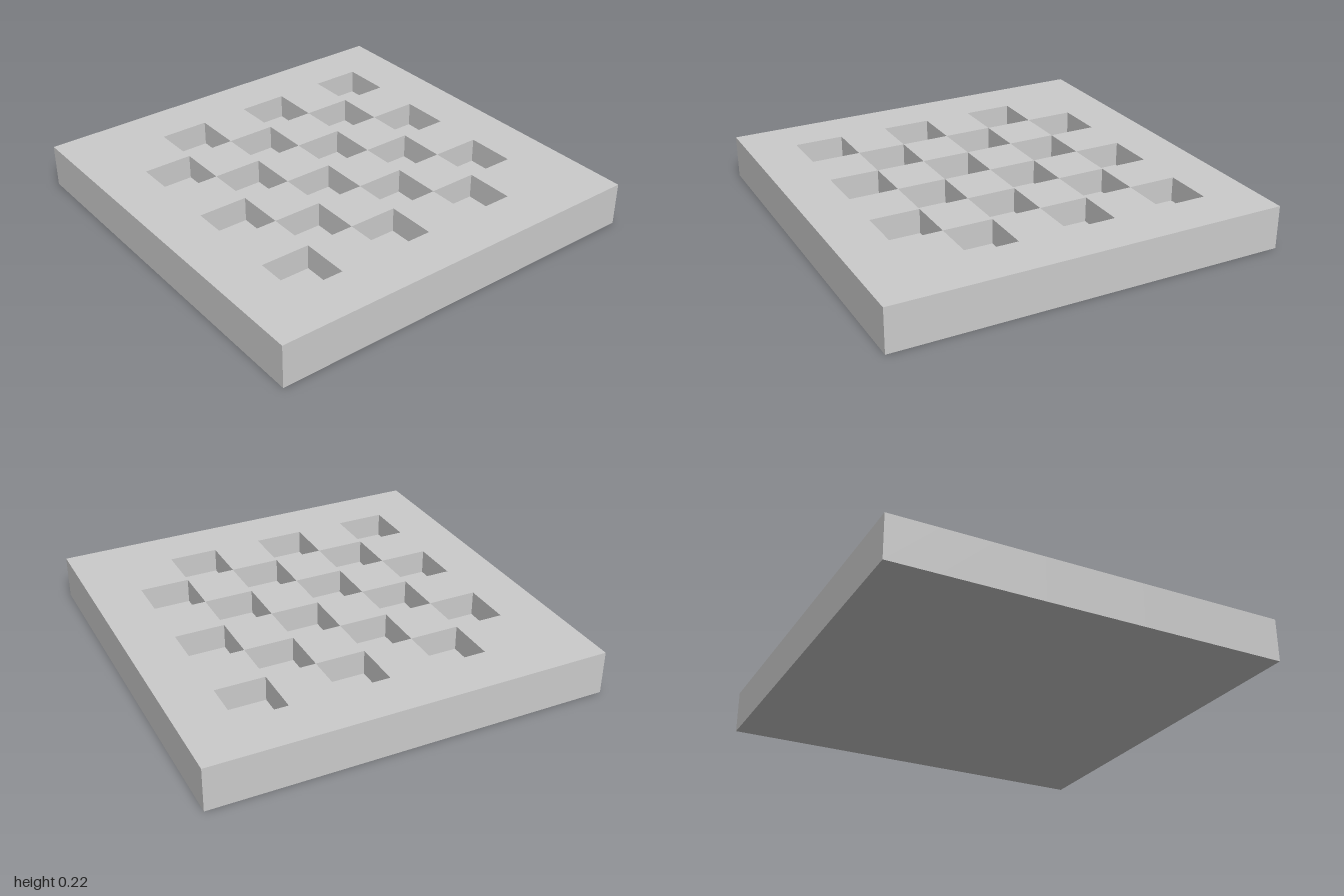
import * as THREE from 'three';
import { mergeGeometries } from 'three/addons/utils/BufferGeometryUtils.js';

const N = 8;            // cells per side
const CELL = 2 / N;
const TOP = 0.22;       // slab height
const FLOOR = 0.095;    // pocket floor height

// Checkered pockets inside a one-cell solid border
const isPocket = (i, j) =>
  i > 0 && j > 0 && i < N - 1 && j < N - 1 && (i + j) % 2 === 1;

function heightAt(i, j) {
  if (i < 0 || j < 0 || i >= N || j >= N) return 0;
  return isPocket(i, j) ? FLOOR : TOP;
}

// Horizontal square centred at x, z, facing up
function level(x, y, z) {
  return new THREE.PlaneGeometry(CELL, CELL).rotateX(-Math.PI / 2).translate(x, y, z);
}

// Vertical wall on the side of a cell facing (dx, dz)
function wall(x, z, dx, dz, low, high) {
  return new THREE.PlaneGeometry(CELL, high - low)
    .rotateY(Math.atan2(dx, dz))
    .translate(x + dx * CELL / 2, (low + high) / 2, z + dz * CELL / 2);
}

export function createModel() {
  const group = new THREE.Group();
  group.name = 'checkeredTray';
  const material = new THREE.MeshStandardMaterial({ color: 0xcccccc, flatShading: true });

  const slab = [];
  const pockets = [];
  for (let i = 0; i < N; i++) {
    for (let j = 0; j < N; j++) {
      const x = (i + 0.5) * CELL - 1;
      const z = (j + 0.5) * CELL - 1;
      const h = heightAt(i, j);
      (isPocket(i, j) ? pockets : slab).push(level(x, h, z));
      // Walls only where the neighbour is lower
      for (const [dx, dz] of [[1, 0], [-1, 0], [0, 1], [0, -1]]) {
        const low = heightAt(i + dx, j + dz);
        if (low < h) (low > 0 ? pockets : slab).push(wall(x, z, dx, dz, low, h));
      }
    }
  }

  // Underside
  slab.push(new THREE.PlaneGeometry(2, 2).rotateX(Math.PI / 2));

  for (const [name, parts] of [['slab', slab], ['pockets', pockets]]) {
    const mesh = new THREE.Mesh(mergeGeometries(parts), material);
    mesh.name = name;
    group.add(mesh);
  }
  return group;
}
